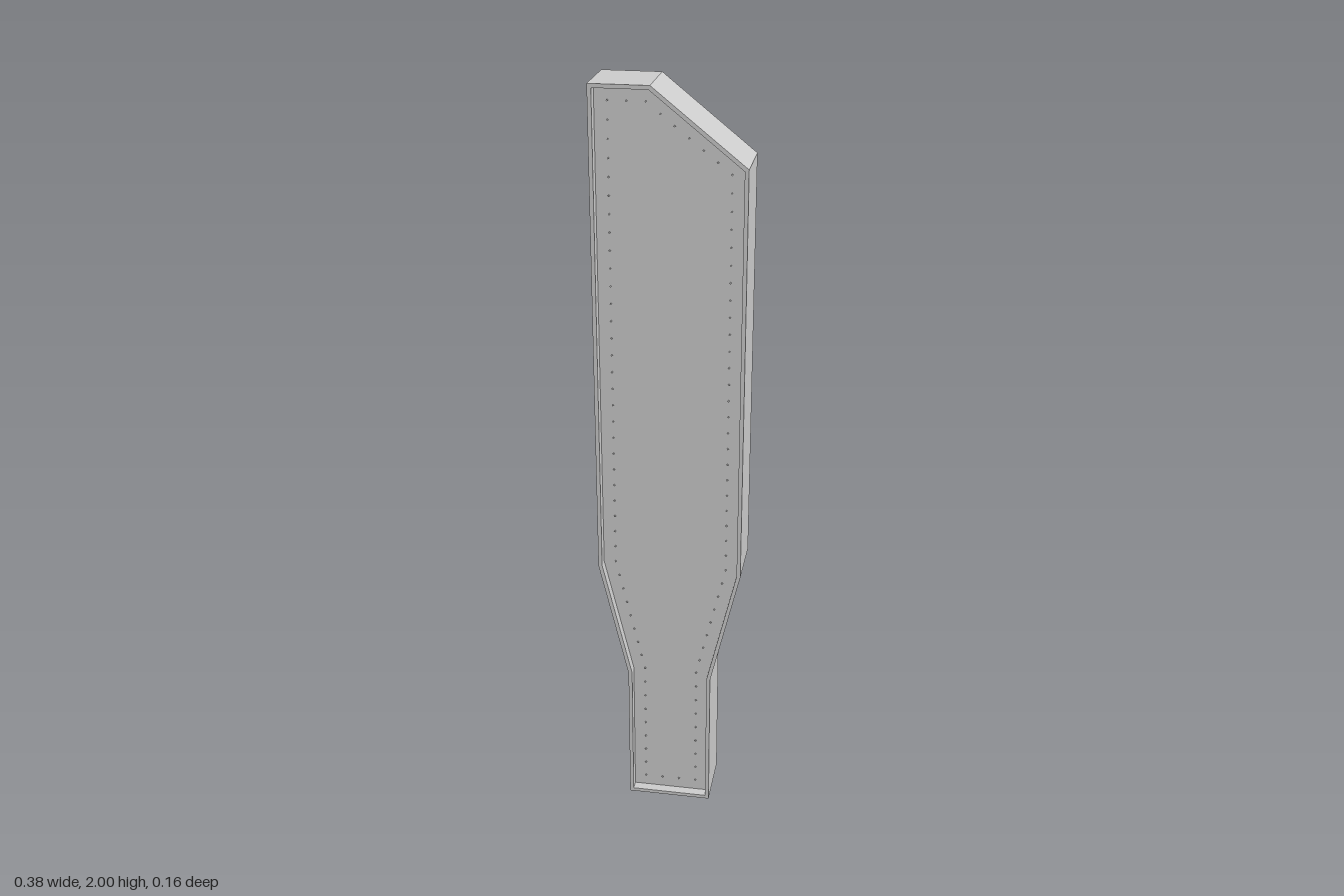
import * as THREE from 'three';

const DEPTH = 0.162, WALL = 0.01, RECESS = 0.026;

// Outline, counter-clockwise seen from the front
const OUTLINE = [
  [-0.113, 0], [0.113, 0], [0.113, 0.4], [0.19, 0.73], [0.19, 1.815],
  [-0.042, 2], [-0.19, 2], [-0.19, 0.73], [-0.113, 0.4],
].map(([x, y]) => new THREE.Vector2(x, y));

// Move every side of the outline inward by d
function inset(points, d) {
  const n = points.length;
  return points.map((p, i) => {
    const a = p.clone().sub(points[(i + n - 1) % n]).normalize();
    const b = points[(i + 1) % n].clone().sub(p).normalize();
    const na = new THREE.Vector2(-a.y, a.x), nb = new THREE.Vector2(-b.y, b.x);
    return p.clone().add(na.clone().add(nb).multiplyScalar(d / (1 + na.dot(nb))));
  });
}

function slab(shape, depth) {
  return new THREE.ExtrudeGeometry(shape, { depth, bevelEnabled: false }).translate(0, 0, -depth / 2);
}

export function createModel() {
  const group = new THREE.Group();
  const material = new THREE.MeshStandardMaterial({ color: 0xcccccc });
  const add = (name, geometry, parent = group) => {
    const mesh = new THREE.Mesh(geometry, material);
    mesh.name = name;
    parent.add(mesh);
    return mesh;
  };

  // Thin wall running round the whole outline
  const inner = inset(OUTLINE, WALL);
  const rim = new THREE.Shape(OUTLINE);
  rim.holes.push(new THREE.Path(inner));
  add('rim', slab(rim, DEPTH));

  // Core whose front and back faces sit below the rim
  const panelDepth = DEPTH - 2 * RECESS;
  add('recessedPanel', slab(new THREE.Shape(inner), panelDepth));

  // Rows of tiny pins following the outline on both faces
  const pins = new THREE.Group();
  pins.name = 'pins';
  group.add(pins);
  const pinGeometry = new THREE.CylinderGeometry(0.0025, 0.0025, 0.008, 4).rotateX(Math.PI / 2);
  const row = inset(OUTLINE, 0.042);
  row.forEach((a, i) => {
    const b = row[(i + 1) % row.length];
    const count = Math.max(1, Math.round(a.distanceTo(b) / 0.045));
    for (let k = 0; k < count; k++) {
      const p = a.clone().lerp(b, k / count);
      for (const side of [1, -1]) {
        add('pin', pinGeometry, pins).position.set(p.x, p.y, side * panelDepth / 2);
      }
    }
  });
  return group;
}
